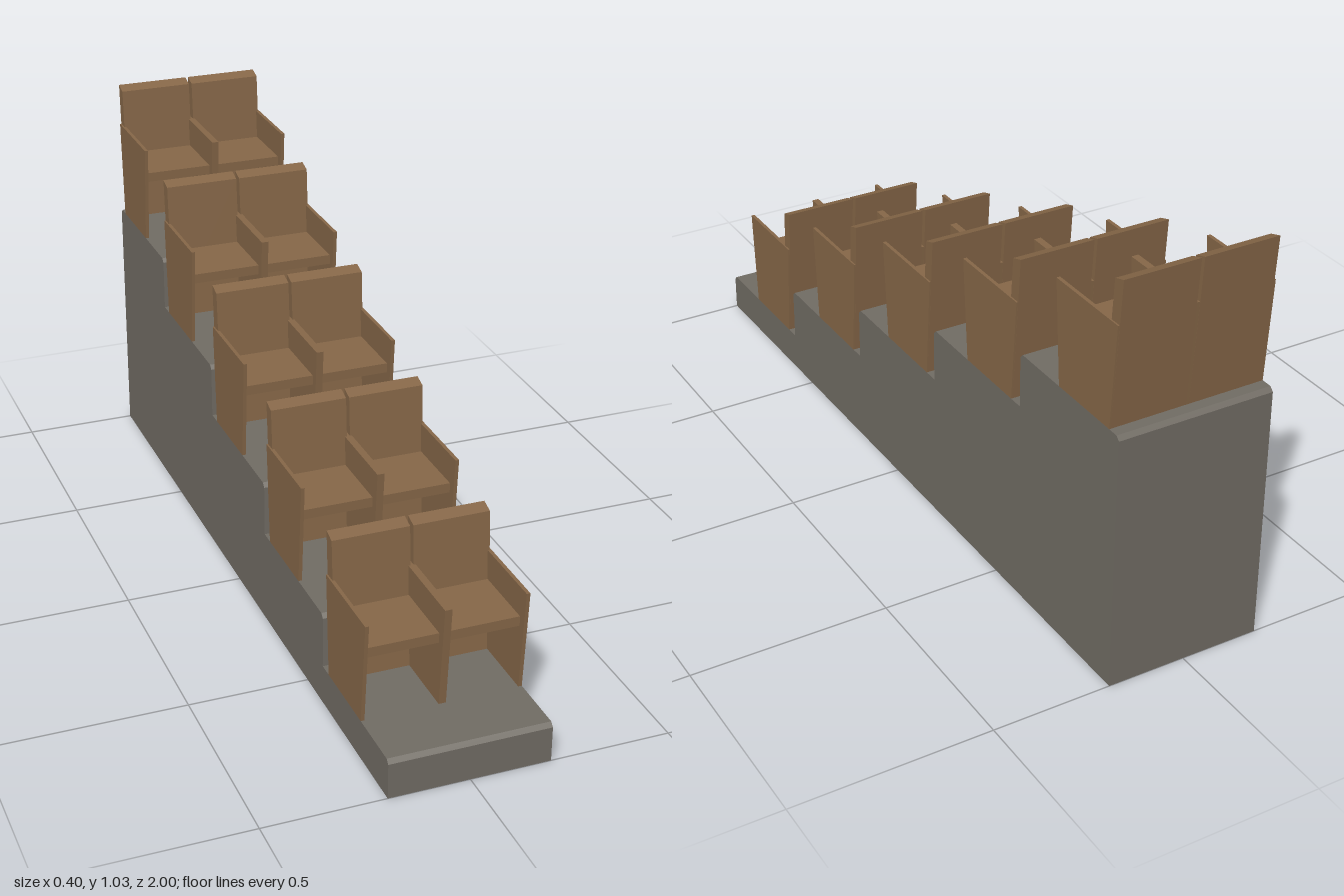
import * as THREE from 'three';

const wood = new THREE.MeshStandardMaterial({ color: 0x866748 });
wood.name = 'brown wood';
const concrete = new THREE.MeshStandardMaterial({ color: 0x716c64 });
concrete.name = 'grey concrete';

const ROWS = 5, TREAD = 0.4, RISE = 0.14, BASE = 0.1, BEVEL = 0.01;

// Side profile of [z, y] points, extruded across from x0 to x1
function slab(name, points, x0, x1, material) {
  const shape = new THREE.Shape(points.map(([z, y]) => new THREE.Vector2(z, y)));
  const geometry = new THREE.ExtrudeGeometry(shape, { depth: x1 - x0, bevelEnabled: false });
  geometry.rotateY(-Math.PI / 2).translate(x1, 0, 0);
  const mesh = new THREE.Mesh(geometry, material);
  mesh.name = name;
  return mesh;
}

// Stepped platform with a small bevel on every nosing
function createPlatform() {
  const points = [[-1, 0], [1, 0]];
  for (let i = 0; i < ROWS; i++) {
    const z = 1 - i * TREAD, y = BASE + i * RISE;
    points.push([z, y - BEVEL], [z - BEVEL, y]);
    if (i < ROWS - 1) points.push([z - TREAD, y]);
    else points.push([-1 + BEVEL, y], [-1, y - BEVEL]);
  }
  return slab('steppedPlatform', points, -0.2, 0.2, concrete);
}

// Side profiles, relative to the front edge of the tread
const armProfile = [[-0.362, 0], [-0.162, 0], [-0.142, 0.26], [-0.38, 0.26]];
const backProfile = [[-0.362, 0], [-0.332, 0], [-0.357, 0.36], [-0.389, 0.37]];
const seatProfile = [[-0.35, 0.16], [-0.17, 0.16], [-0.17, 0.185], [-0.35, 0.185]];

function createSeatPair() {
  const pair = new THREE.Group();
  pair.add(slab('middleArm', armProfile, -0.009, 0.009, wood));
  for (const [side, s] of [['left', 1], ['right', -1]]) {
    const part = (name, profile, a, b) =>
      pair.add(slab(side + name, profile, Math.min(s * a, s * b), Math.max(s * a, s * b), wood));
    part('OuterArm', armProfile, 0.191, 0.2);
    part('Backrest', backProfile, 0.004, 0.196);
    part('Seat', seatProfile, 0.009, 0.191);
  }
  return pair;
}

export function createModel() {
  const model = new THREE.Group();
  model.name = 'tieredSeating';
  model.add(createPlatform());
  for (let i = 0; i < ROWS; i++) {
    const row = createSeatPair();
    row.name = 'seatRow' + (i + 1);
    row.position.set(0, BASE + i * RISE, 1 - i * TREAD);
    model.add(row);
  }
  return model;
}
